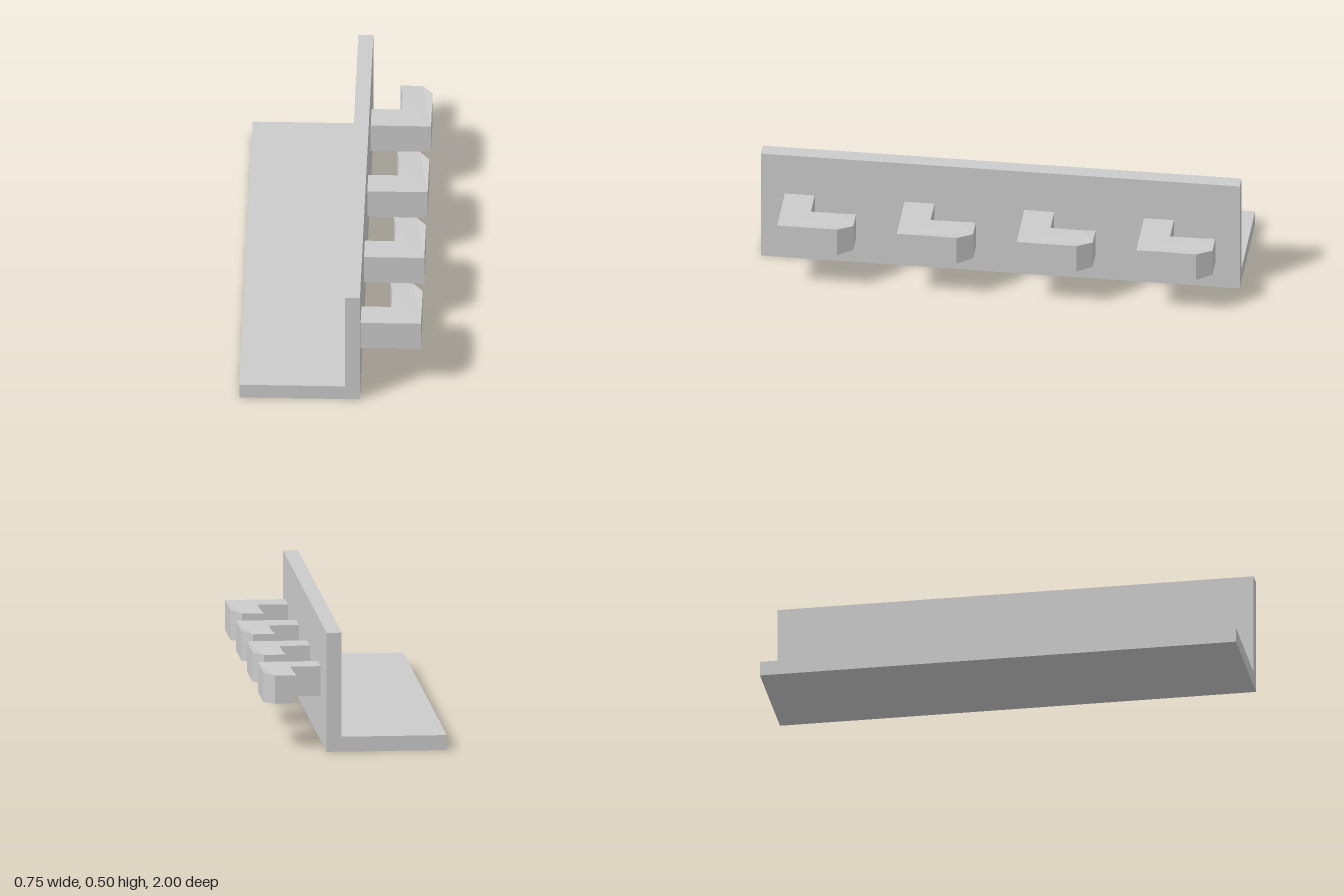
import * as THREE from 'three';

const material = new THREE.MeshStandardMaterial({ color: 0xcccccc, flatShading: true });

// Straight extrusion of a closed outline
function extrude(points, depth) {
  const shape = new THREE.Shape(points.map(([x, y]) => new THREE.Vector2(x, y)));
  return new THREE.ExtrudeGeometry(shape, { depth, bevelEnabled: false });
}

// L-section running the full length
function createRail() {
  const geometry = extrude([
    [-0.375, 0], [0.125, 0], [0.125, 0.5],
    [0.0625, 0.5], [0.0625, 0.0625], [-0.375, 0.0625],
  ], 2);
  geometry.translate(0, 0, -1);
  const rail = new THREE.Mesh(geometry, material);
  rail.name = 'angleRail';
  return rail;
}

// Hook outline seen from above: arm out from the rail, finger back with a chamfered tip
function createHookGeometry() {
  const height = 0.125;
  const geometry = extrude([
    [0.125, 0], [0.375, 0], [0.375, 0.25], [0.333, 0.3125],
    [0.24, 0.3125], [0.25, 0.25], [0.25, 0.125], [0.125, 0.125],
  ], height);
  geometry.translate(0, 0, -height / 2);

  // Slight thinning at the very tip
  const pos = geometry.attributes.position;
  for (let i = 0; i < pos.count; i++) {
    if (pos.getY(i) > 0.3) pos.setZ(i, pos.getZ(i) * 0.94);
  }
  geometry.rotateX(-Math.PI / 2);
  geometry.computeVertexNormals();
  return geometry;
}

export function createModel() {
  const model = new THREE.Group();
  model.name = 'hookRail';
  model.add(createRail());

  // Four evenly spaced hooks on the outer face
  const hookGeometry = createHookGeometry();
  for (let i = 0; i < 4; i++) {
    const hook = new THREE.Mesh(hookGeometry, material);
    hook.name = `hook${i + 1}`;
    hook.position.set(0, 0.25, 0.9 - i * 0.5);
    model.add(hook);
  }
  return model;
}
